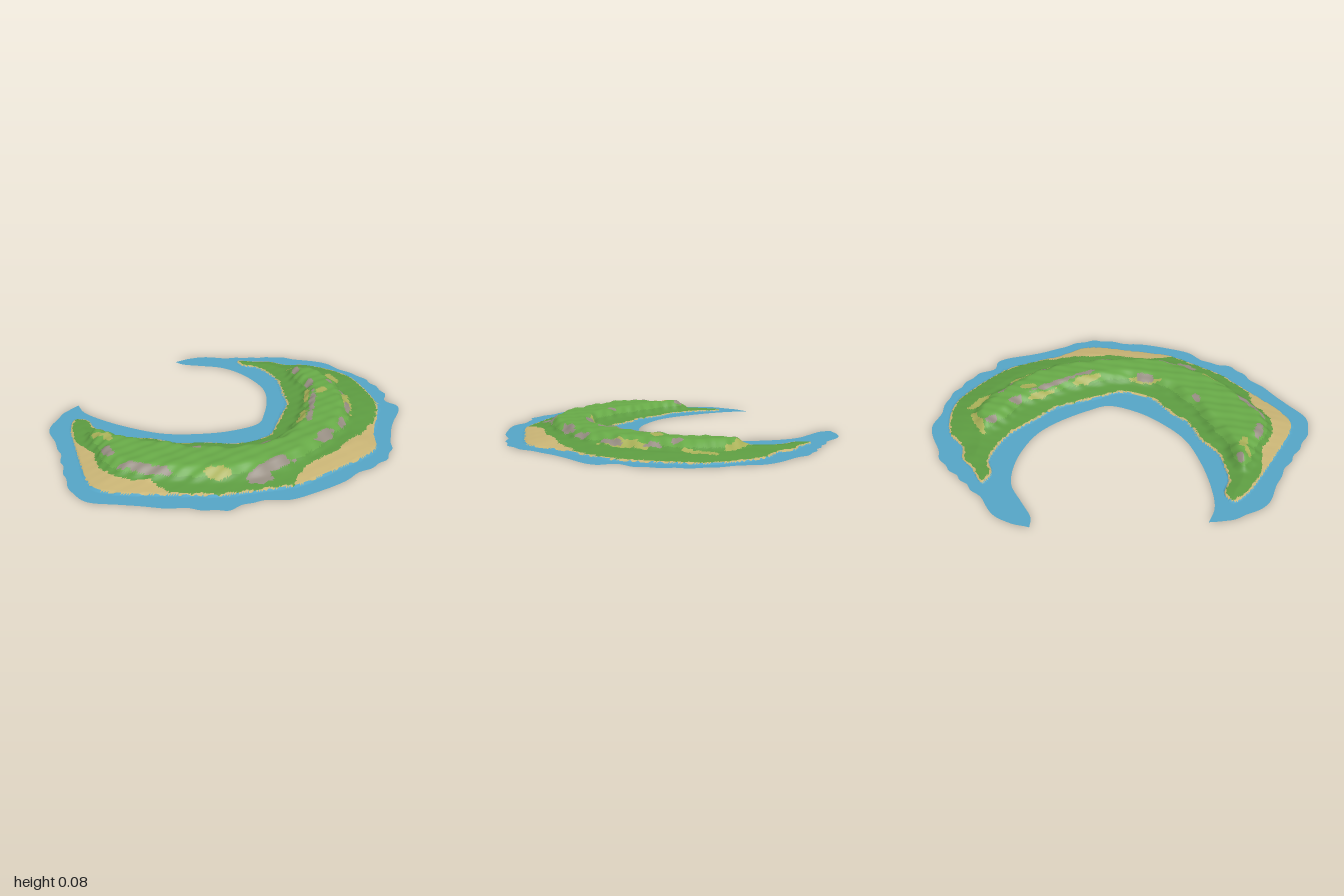
import * as THREE from 'three';

const COLOURS = {
  sea: 0x55a5c6, beach: 0xc9b475, meadow: 0x5d9c41, highGrass: 0x67a947, scrub: 0xa9b058, rock: 0x968d82,
};
const CX = -0.2, CZ = -0.15; // centre the crescent bends around

// Smooth curve through flat x,z pairs
function trace(flat, closed, samples) {
  const pts = [];
  for (let i = 0; i < flat.length; i += 2) pts.push(new THREE.Vector3(flat[i], 0, flat[i + 1]));
  return new THREE.CatmullRomCurve3(pts, closed, 'centripetal').getPoints(samples);
}

// Edges of the shallow sea, from the south-west tip round to the north-west tip
const seaOuter = trace([
  -0.91, 0.03, -0.95, 0.15, -0.93, 0.38, -0.80, 0.55, -0.70, 0.72, -0.60, 0.88, -0.50, 0.98, -0.3, 0.99,
  0, 0.95, 0.2, 0.92, 0.3, 0.83, 0.5, 0.75, 0.62, 0.65, 0.75, 0.48, 0.9, 0.28, 0.92, 0.1, 0.91, 0,
  0.93, -0.15, 0.94, -0.38, 0.88, -0.43, 0.86, -0.55, 0.78, -0.68, 0.7, -0.78, 0.58, -0.86, 0.47, -0.95,
  0.3, -0.98, 0.13, -0.995, -0.05, -0.95, -0.25, -0.9, -0.42, -0.87, -0.54, -0.76], false, 300);
const seaInner = trace([
  -0.91, 0.03, -0.84, 0.11, -0.7, 0.18, -0.5, 0.24, -0.3, 0.265, -0.1, 0.22, 0.05, 0.15, 0.18, 0.03,
  0.19, -0.1, 0.17, -0.3, 0.12, -0.45, 0, -0.6, -0.12, -0.69, -0.22, -0.73, -0.35, -0.73, -0.48, -0.73,
  -0.54, -0.76], false, 300);

// Shoreline, plateau rim and the two wide beaches
const shore = trace([
  -0.85, 0.22, -0.83, 0.32, -0.76, 0.45, -0.70, 0.55, -0.62, 0.68, -0.53, 0.82, -0.45, 0.89, -0.33, 0.9,
  -0.2, 0.88, 0, 0.84, 0.15, 0.81, 0.28, 0.75, 0.42, 0.68, 0.5, 0.63, 0.58, 0.54, 0.68, 0.42, 0.8, 0.27,
  0.84, 0.17, 0.82, 0, 0.83, -0.15, 0.83, -0.35, 0.8, -0.45, 0.73, -0.6, 0.66, -0.72, 0.6, -0.78,
  0.5, -0.84, 0.33, -0.885, 0.2, -0.86, 0.1, -0.89, 0, -0.87, -0.13, -0.86, -0.08, -0.79, 0.02, -0.77,
  0.1, -0.70, 0.18, -0.6, 0.22, -0.5, 0.25, -0.4, 0.3, -0.25, 0.29, -0.1, 0.28, 0.05, 0.27, 0.15,
  0.2, 0.24, 0.1, 0.3, -0.05, 0.32, -0.2, 0.36, -0.35, 0.34, -0.5, 0.36, -0.6, 0.33, -0.7, 0.29,
  -0.78, 0.21], true, 200);
const rim = trace([
  -0.66, 0.41, -0.55, 0.55, -0.46, 0.69, -0.36, 0.735, -0.15, 0.725, 0.1, 0.68, 0.25, 0.61, 0.4, 0.49,
  0.5, 0.34, 0.58, 0.15, 0.64, -0.05, 0.64, -0.2, 0.58, -0.42, 0.5, -0.58, 0.4, -0.69, 0.28, -0.69,
  0.31, -0.6, 0.39, -0.48, 0.43, -0.3, 0.43, -0.1, 0.41, 0.1, 0.34, 0.28, 0.2, 0.4, 0, 0.46,
  -0.3, 0.46, -0.5, 0.44], true, 120);
const beaches = [
  trace([-0.78, 0.44, -0.7, 0.5, -0.58, 0.6, -0.5, 0.72, -0.38, 0.79, -0.2, 0.79, -0.16, 0.82, -0.08, 0.87,
    -0.3, 0.96, -0.52, 0.93, -0.7, 0.65], true, 60),
  trace([0.48, 0.65, 0.5, 0.5, 0.57, 0.38, 0.65, 0.28, 0.7, 0.15, 0.76, 0.06, 0.8, -0.1, 0.87, 0.1,
    0.87, 0.3, 0.62, 0.6], true, 60),
];

// Patches: x, z, half length, half width, turn
const rocks = [
  [0.30, -0.65, 0.04, 0.02, 1.2], [0.41, -0.46, 0.04, 0.025, 1.3], [0.53, -0.5, 0.03, 0.02, 1],
  [0.455, -0.2, 0.15, 0.018, 1.5], [0.465, 0.02, 0.06, 0.018, 1.6], [0.57, 0.2, 0.09, 0.025, -1.1],
  [0.645, 0.02, 0.05, 0.018, 1.6], [0.66, -0.2, 0.07, 0.016, 1.5], [0.60, -0.42, 0.04, 0.015, 1.1],
  [0.35, 0.55, 0.12, 0.025, -0.75], [0.30, 0.64, 0.07, 0.045, -0.6], [0.28, 0.33, 0.06, 0.025, -0.8],
  [-0.07, 0.49, 0.035, 0.018, 0], [-0.63, 0.41, 0.03, 0.015, 0.2], [-0.25, 0.735, 0.13, 0.025, 0],
  [-0.49, 0.63, 0.06, 0.025, 0.9],
];
const scrubs = [
  [0.33, -0.72, 0.11, 0.02, 0], [0.53, -0.65, 0.09, 0.025, 1.1], [0.49, -0.35, 0.05, 0.025, -1.2],
  [0.41, -0.3, 0.09, 0.015, 1.5], [0.42, 0.0, 0.1, 0.022, 1.6], [0.65, -0.28, 0.14, 0.025, 1.4],
  [0.1, 0.69, 0.06, 0.03, -0.3], [0.27, 0.32, 0.09, 0.02, -0.8], [-0.54, 0.49, 0.05, 0.02, 0.8],
  [-0.6, 0.47, 0.04, 0.015, 0.3],
];

const ripple = (x, z) => (Math.sin(x * 31 + z * 17) + Math.sin(z * 43 - x * 23 + 1) + Math.sin(x * 71 + z * 59 + 2)) / 3;
const inPatch = (list, x, z) => list.some(([px, pz, a, b, turn]) => {
  const dx = x - px, dz = z - pz, c = Math.cos(turn), s = Math.sin(turn);
  return Math.hypot((dx * c + dz * s) / a, (dz * c - dx * s) / b) < 1 + 0.3 * ripple(x * 2, z * 2);
});

// Distance to a closed line, positive inside
function depth(line, x, z) {
  let inside = false, best = Infinity;
  for (let i = 0; i < line.length - 1; i++) {
    const a = line[i], b = line[i + 1], ex = b.x - a.x, ez = b.z - a.z;
    const t = THREE.MathUtils.clamp(((x - a.x) * ex + (z - a.z) * ez) / (ex * ex + ez * ez || 1), 0, 1);
    best = Math.min(best, Math.hypot(x - a.x - ex * t, z - a.z - ez * t));
    if ((a.z > z) !== (b.z > z) && x < a.x + (ex * (z - a.z)) / ez) inside = !inside;
  }
  return inside ? best : -best;
}

// Radius of a sea edge at an angle round the centre
function radiusAt(line, angle) {
  const polar = (p) => [Math.atan2(p.z - CZ, p.x - CX), Math.hypot(p.x - CX, p.z - CZ)];
  for (let i = 0; i < line.length - 1; i++) {
    const [a0, r0] = polar(line[i]), [a1, r1] = polar(line[i + 1]);
    if (angle <= a0 && angle >= a1) return r0 + ((r1 - r0) * (a0 - angle)) / (a0 - a1 || 1);
  }
  const [, r] = polar(line[angle > 0 ? 0 : line.length - 1]);
  return r;
}

// Ground height: flat sea, low shelf, steep flank, plateau
function heightAt(x, z) {
  const d = depth(shore, x, z);
  if (d < 0) return 0;
  const n = ripple(x, z);
  const shelf = 0.007 + 0.018 * Math.min(1, d / 0.12);
  const hill = THREE.MathUtils.smoothstep(depth(rim, x, z) + 0.012 * n, -0.06, 0.035);
  return shelf + hill * (0.074 + 0.003 * n - shelf) + 0.0015 * n * Math.min(1, d / 0.05);
}

function kindAt(x, z, y) {
  const d = depth(shore, x, z), n = ripple(x * 1.7, z * 1.7);
  if (d < 0) return 'sea';
  if (d < 0.01 + 0.008 * n || beaches.some((b) => depth(b, x, z) > 0.008 * n)) return 'beach';
  if (inPatch(rocks, x, z)) return 'rock';
  if (inPatch(scrubs, x, z)) return 'scrub';
  return y > 0.04 ? 'highGrass' : 'meadow';
}

export function createModel() {
  const group = new THREE.Group();
  group.name = 'crescentIsland';
  const ROWS = 420, COLS = 70;
  const start = Math.atan2(0.03 - CZ, -0.91 - CX), end = Math.atan2(-0.76 - CZ, -0.54 - CX);

  // Grid swept round the crescent from inner to outer sea edge
  const pos = [];
  for (let i = 0; i <= ROWS; i++) {
    const u = i / ROWS, angle = start + (end - start) * u;
    const r0 = radiusAt(seaInner, angle);
    const wave = 0.006 * Math.sin(u * 190 + 3 * Math.sin(u * 37)) * Math.min(1, u * 15, (1 - u) * 15);
    const r1 = Math.max(r0, radiusAt(seaOuter, angle) + wave);
    for (let j = 0; j <= COLS; j++) {
      const r = r0 + ((r1 - r0) * j) / COLS;
      const x = CX + r * Math.cos(angle), z = CZ + r * Math.sin(angle);
      pos.push(x, heightAt(x, z), z);
    }
  }

  // Sort the triangles by ground kind
  const faces = Object.fromEntries(Object.keys(COLOURS).map((k) => [k, []]));
  const all = [];
  const addFace = (...tri) => {
    const mid = (k) => (pos[tri[0] * 3 + k] + pos[tri[1] * 3 + k] + pos[tri[2] * 3 + k]) / 3;
    faces[kindAt(mid(0), mid(2), mid(1))].push(...tri);
    all.push(...tri);
  };
  for (let i = 0; i < ROWS; i++) for (let j = 0; j < COLS; j++) {
    const a = i * (COLS + 1) + j, c = a + COLS + 1;
    addFace(a, a + 1, c);
    addFace(a + 1, c + 1, c);
  }

  // One mesh per ground kind, sharing smooth normals
  const ground = new THREE.BufferGeometry();
  ground.setAttribute('position', new THREE.Float32BufferAttribute(pos, 3));
  ground.setIndex(all);
  ground.computeVertexNormals();
  for (const [name, color] of Object.entries(COLOURS)) {
    const material = new THREE.MeshStandardMaterial({ color, side: THREE.DoubleSide });
    material.name = name;
    ground.setIndex(faces[name]);
    const mesh = new THREE.Mesh(ground.toNonIndexed(), material);
    mesh.name = name;
    group.add(mesh);
  }
  return group;
}
